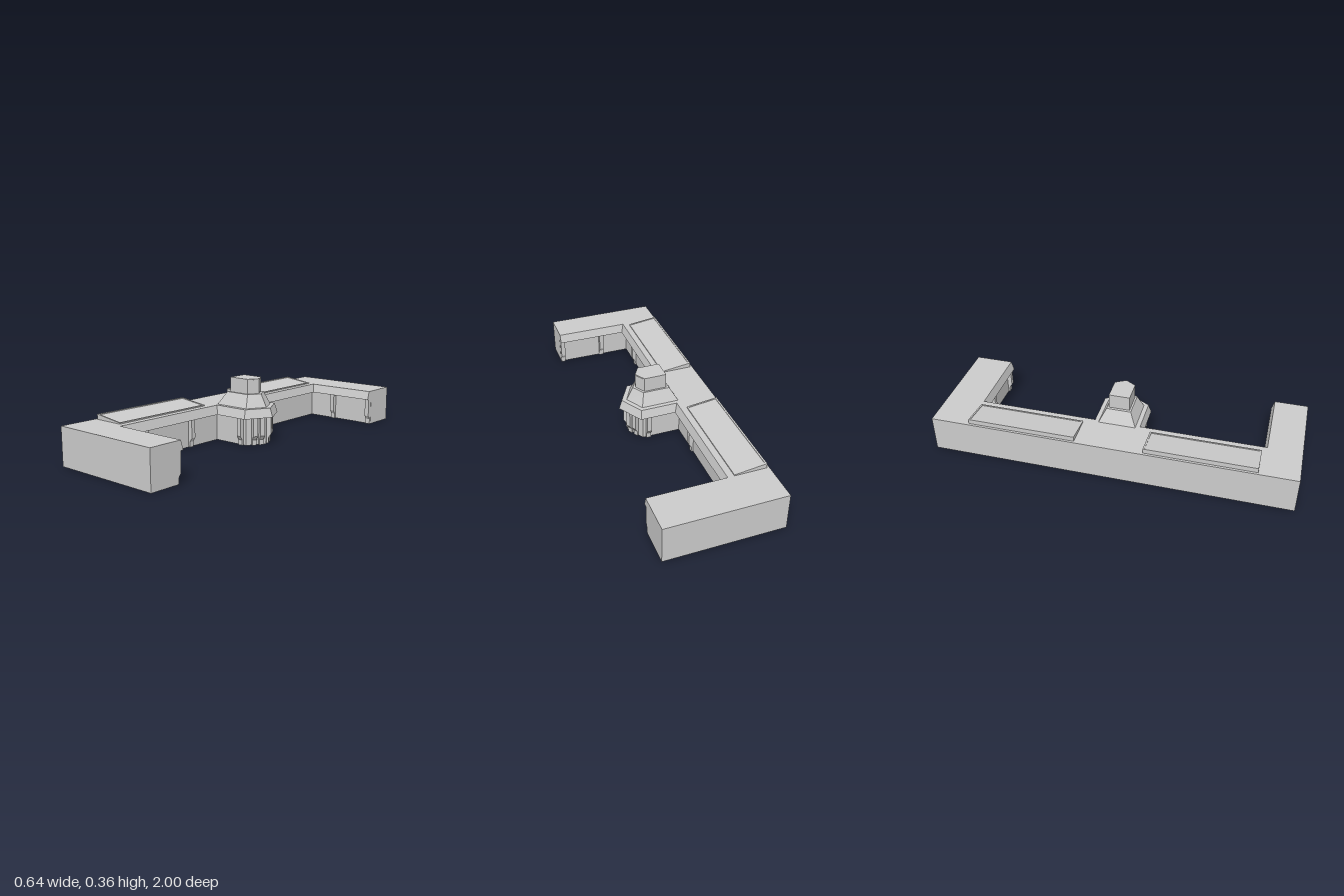
import * as THREE from 'three';

const material = new THREE.MeshStandardMaterial({ color: 0xcccccc, flatShading: true, side: THREE.DoubleSide });

function addMesh(parent, name, geometry) {
  const mesh = new THREE.Mesh(geometry, material);
  mesh.name = name;
  parent.add(mesh);
  return mesh;
}

// Joins rings of [x, y, z] corners (anticlockwise from above) and caps both ends.
function loft(rings) {
  const n = rings[0].length;
  const pos = [];
  const tri = (a, b, c) => pos.push(...a, ...b, ...c);
  for (let r = 0; r < rings.length - 1; r++) {
    for (let i = 0; i < n; i++) {
      const j = (i + 1) % n;
      tri(rings[r][i], rings[r][j], rings[r + 1][j]);
      tri(rings[r][i], rings[r + 1][j], rings[r + 1][i]);
    }
  }
  const cap = (ring, up) => {
    const flat = ring.map(([x, , z]) => new THREE.Vector2(x, -z));
    for (const [a, b, c] of THREE.ShapeUtils.triangulateShape(flat, [])) {
      if (up) tri(ring[a], ring[b], ring[c]);
      else tri(ring[a], ring[c], ring[b]);
    }
  };
  cap(rings[0], false);
  cap(rings[rings.length - 1], true);
  const g = new THREE.BufferGeometry();
  g.setAttribute('position', new THREE.Float32BufferAttribute(pos, 3));
  g.computeVertexNormals();
  return g;
}

const BAY = 0.142, TIP = 0.195, CORNER = 0.115, COURT = -0.083, WING_L = 0.8, WING_R = -0.77;
const WALL = 0.04; // wall set back behind the cornice lip

// Plan of the building, set back by d along the courtyard side
function plan(y, d) {
  const x = COURT - d, b = BAY - d, c = CORNER - 0.58 * d, t = TIP - 1.15 * d;
  return [
    [-0.32, 1], [0.32, 1], [0.32, WING_L + d], [x, WING_L + d], [x, b], [c, b], [t, 0],
    [c, -b], [x, -b], [x, WING_R - d], [0.32, WING_R - d], [0.32, -1], [-0.32, -1],
  ].map(([px, pz]) => [px, y, pz]);
}

// Pentagon with its point towards +x
function pentagon(y, back, corner, tip, half) {
  return [[back, half], [corner, half], [tip, 0], [corner, -half], [back, -half]].map(([x, z]) => [x, y, z]);
}

// Buttress with an undercut foot, facing (ox, oz)
const buttressProfile = new THREE.Shape(
  [[-0.01, 0], [0.01, 0], [0.01, 0.03], [0.025, 0.052], [0.025, 0.156], [-0.01, 0.156]].map((p) => new THREE.Vector2(...p)));
const buttressGeometry = new THREE.ExtrudeGeometry(buttressProfile, { depth: 0.026, bevelEnabled: false });
buttressGeometry.translate(0, 0, -0.013);

function addButtress(parent, x, z, ox, oz) {
  const b = addMesh(parent, 'buttress', buttressGeometry);
  b.position.set(x, 0, z);
  b.rotation.y = Math.atan2(-oz, ox);
}

// Sloping roof panel with a thin rim around a sunken pane
function roofPanel(z0, z1) {
  const x0 = -0.307, x1 = -0.133;
  const slope = (x) => 0.232 - (0.021 * (x - x0)) / (x1 - x0);
  const ring = (inset, height) => [
    [x0 + inset, z1 - inset], [x1 - inset, z1 - inset], [x1 - inset, z0 + inset], [x0 + inset, z0 + inset],
  ].map(([x, z]) => [x, height(x), z]);
  return loft([
    ring(0, () => 0.2), ring(0, slope), ring(0.009, slope), ring(0.009, (x) => slope(x) - 0.003),
  ]);
}

export function createModel() {
  const model = new THREE.Group();
  model.name = 'building';

  // U-shaped block with a pointed bay and an overhanging, sloped cornice
  addMesh(model, 'mainBlock', loft([plan(0, WALL), plan(0.155, WALL), plan(0.155, 0), plan(0.205, 0.015)]));

  // Buttresses along the courtyard wall, the wings and the bay
  const buttresses = new THREE.Group();
  buttresses.name = 'buttresses';
  model.add(buttresses);
  for (const z of [0.645, 0.315, -0.298]) addButtress(buttresses, COURT - WALL, z, 1, 0);
  for (const x of [0.05, 0.306]) {
    addButtress(buttresses, x, WING_L + WALL, 0, -1);
    addButtress(buttresses, x, WING_R - WALL, 0, 1);
  }
  for (const s of [1, -1]) {
    addButtress(buttresses, 0.06, s * (BAY - WALL), 0, s);
    for (const z of [0.026, 0.062]) {
      const x = TIP - 1.15 * WALL - (z * (TIP - CORNER)) / BAY;
      addButtress(buttresses, x, s * z, 0.87, s * 0.49);
    }
  }

  // Roof panels
  addMesh(model, 'roofPanelLeft', roofPanel(0.19, 0.79));
  addMesh(model, 'roofPanelRight', roofPanel(-0.785, -0.185));

  // Tower: tapered base and upright head
  const tower = new THREE.Group();
  tower.name = 'tower';
  model.add(tower);
  addMesh(tower, 'towerBase', loft([
    pentagon(0.2, -0.118, 0.095, 0.152, 0.106),
    pentagon(0.272, -0.077, 0.075, 0.115, 0.07),
    pentagon(0.276, -0.075, 0.074, 0.113, 0.068),
  ]));
  addMesh(tower, 'towerHead', loft([
    pentagon(0.274, -0.06, 0.064, 0.098, 0.058),
    pentagon(0.358, -0.06, 0.064, 0.098, 0.058),
  ]));

  // Windows on the two faces of the tower's point
  for (const s of [1, -1]) {
    const pane = addMesh(tower, 'towerWindow', new THREE.BoxGeometry(0.004, 0.072, 0.052));
    pane.position.set(0.081, 0.318, s * 0.029);
    pane.rotation.y = Math.atan2(-s * 0.034, 0.058);
  }
  return model;
}
